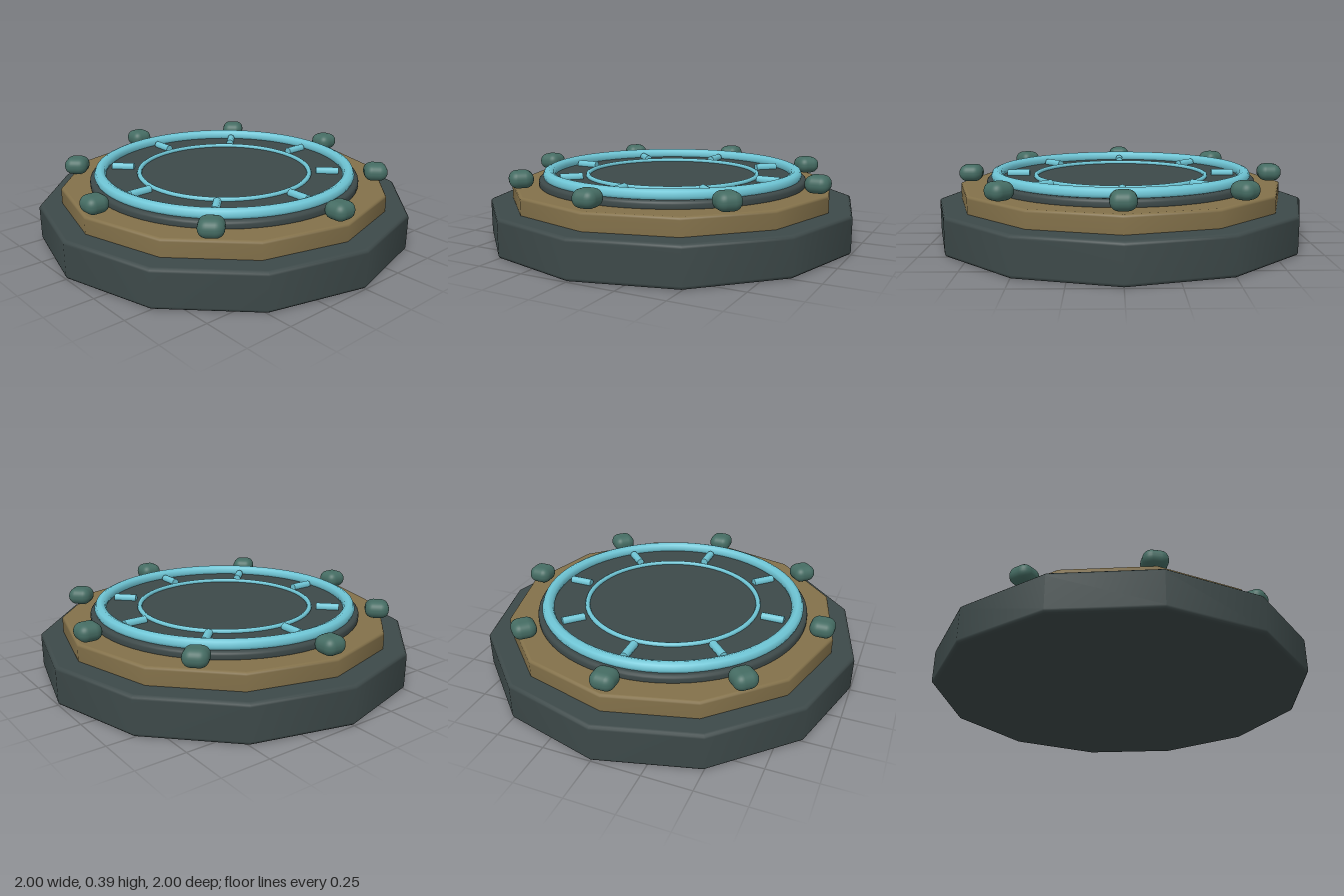
import * as THREE from 'three';
import { RoundedBoxGeometry } from 'three/addons/geometries/RoundedBoxGeometry.js';

const material = (name, color) => {
  const m = new THREE.MeshStandardMaterial({ color });
  m.name = name;
  return m;
};

// Solid disc with rounded rims; doubled rim points keep the flat faces flat
function bevelledDisc(radius, bottom, top, bevel, sides) {
  const e = 0.001, pts = [[0, bottom], [radius - bevel - e, bottom]];
  for (let i = 0; i <= 3; i++) {
    const a = (i / 3) * Math.PI / 2;
    pts.push([radius - bevel + bevel * Math.sin(a), bottom + bevel - bevel * Math.cos(a)]);
  }
  for (let i = 0; i <= 3; i++) {
    const a = (i / 3) * Math.PI / 2;
    pts.push([radius - bevel + bevel * Math.cos(a), top - bevel + bevel * Math.sin(a)]);
  }
  pts.push([radius - bevel - e, top], [0, top]);
  return new THREE.LatheGeometry(pts.map(([x, y]) => new THREE.Vector2(x, y)), sides);
}

export function createModel() {
  const stone = material('dark slate', 0x3d4949);
  const bronze = material('bronze', 0x83714a);
  const glow = material('light cyan', 0x6fc6d6);
  const stud = material('muted teal', 0x456c63);

  const model = new THREE.Group();
  model.name = 'platform';
  const add = (name, geometry, mat, parent = model) => {
    const mesh = new THREE.Mesh(geometry, mat);
    mesh.name = name;
    parent.add(mesh);
    return mesh;
  };

  // Stacked tiers
  add('base', bevelledDisc(1, 0, 0.2, 0.018, 12), stone);
  add('bronzeTier', bevelledDisc(0.88, 0.19, 0.29, 0.014, 12), bronze);
  add('centreDisc', bevelledDisc(0.727, 0.28, 0.328, 0.016, 64), stone);

  // Rings lying on the disc
  const ring = (name, radius, tube, y) => {
    const g = new THREE.TorusGeometry(radius, tube, 8, 64).rotateX(Math.PI / 2);
    add(name, g, glow).position.y = y;
  };
  ring('outerRing', 0.672, 0.032, 0.343);
  ring('innerRing', 0.463, 0.013, 0.333);

  // Eight radial markers and studs
  const markerGeometry = new THREE.CylinderGeometry(0.022, 0.022, 0.12, 8).rotateX(Math.PI / 2);
  const studGeometry = new RoundedBoxGeometry(0.125, 0.09, 0.125, 4, 0.043);
  for (let i = 0; i < 8; i++) {
    const spoke = new THREE.Group();
    spoke.name = 'spoke' + (i + 1);
    spoke.rotation.y = i * Math.PI / 4;
    add('marker', markerGeometry, glow, spoke).position.set(0, 0.338, 0.56);
    add('stud', studGeometry, stud, spoke).position.set(0, 0.343, 0.82);
    model.add(spoke);
  }
  return model;
}
